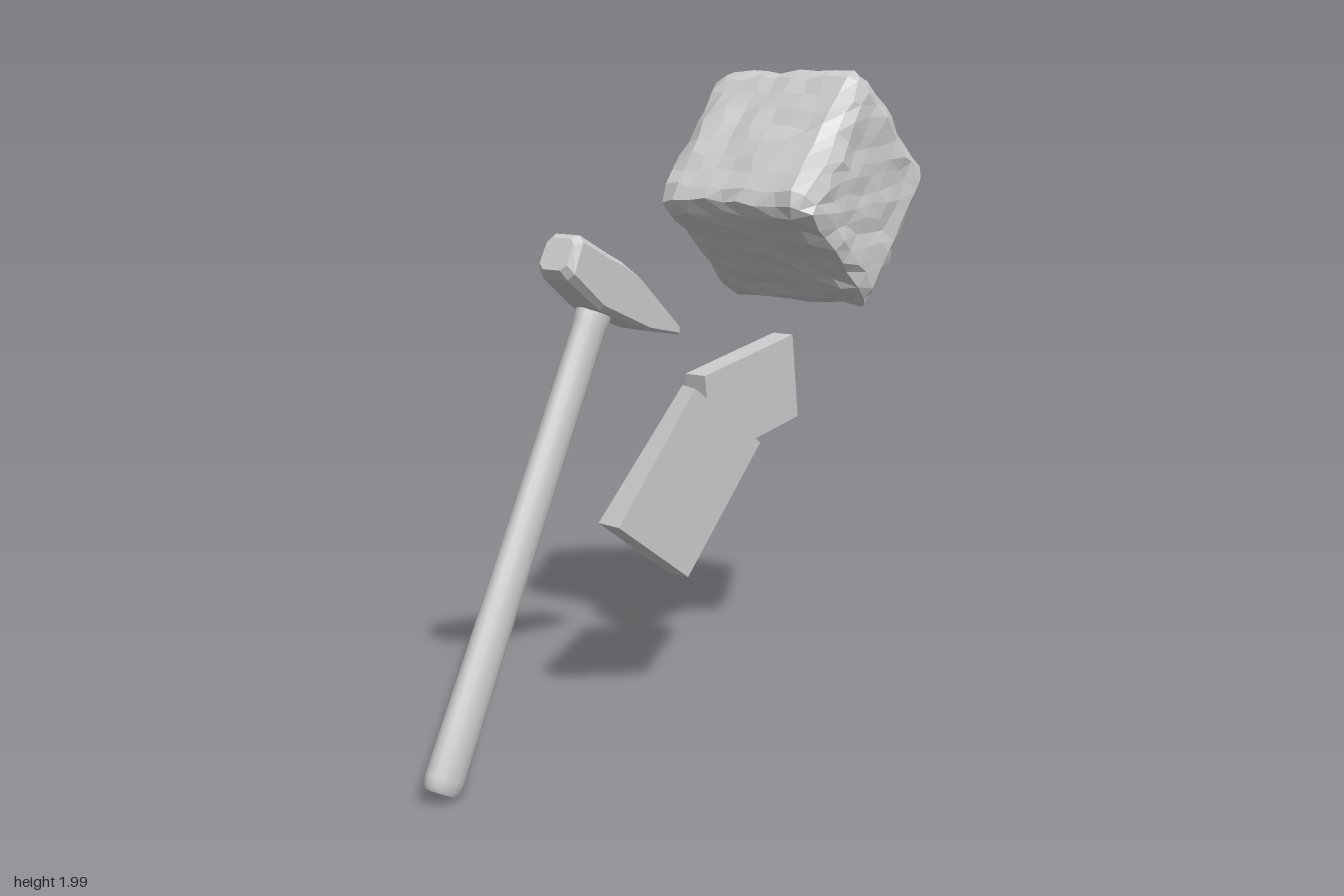
import * as THREE from 'three';
import { toCreasedNormals } from 'three/addons/utils/BufferGeometryUtils.js';

const smooth = new THREE.MeshStandardMaterial({ color: 0xcccccc });
const faceted = new THREE.MeshStandardMaterial({ color: 0xcccccc, flatShading: true });

function part(name, geometry, material) {
  const mesh = new THREE.Mesh(geometry, material);
  mesh.name = name;
  return mesh;
}

// Move every vertex of a geometry by a rule
function deform(geometry, rule) {
  const pos = geometry.attributes.position;
  const v = new THREE.Vector3();
  for (let i = 0; i < pos.count; i++) {
    rule(v.fromBufferAttribute(pos, i));
    pos.setXYZ(i, v.x, v.y, v.z);
  }
  geometry.computeVertexNormals();
  return geometry;
}

// Repeatable noise in -1..1 from a position, equal on shared seams
function noise(p, seed) {
  const [x, y, z] = [p.x, p.y, p.z].map((n) => Math.round(n * 1000));
  const s = Math.sin(x * 0.1271 + y * 0.3117 + z * 0.0747 + seed) * 4375.85;
  return (s - Math.floor(s)) * 2 - 1;
}

// Rough stone cube with worn edges
function stoneBlock() {
  const radius = 0.06;
  const inner = new THREE.Vector3(0.21, 0.21, 0.217);
  const low = inner.clone().negate();
  const geometry = deform(new THREE.BoxGeometry(0.54, 0.54, 0.554, 9, 9, 9), (v) => {
    const core = v.clone().clamp(low, inner);
    const out = v.clone().sub(core).normalize();
    const bump = noise(v, 1) * 0.007;
    const slide = new THREE.Vector3(noise(v, 2), noise(v, 3), noise(v, 4)).multiplyScalar(0.012);
    slide.addScaledVector(out, -slide.dot(out));
    v.copy(core).addScaledVector(out, radius + bump).add(slide);
  });
  const block = part('stoneBlock', geometry, faceted);
  block.position.set(0.553, 1.633, 0);
  block.rotation.z = THREE.MathUtils.degToRad(-41);
  return block;
}

// Slab from front and back corners, each: top left, top right, bottom right, bottom left
function slab(name, front, back, dent) {
  const blend = (corners, s, t) => [0, 1, 2].map((k) => {
    const top = corners[0][k] * (1 - s) + corners[1][k] * s;
    const bottom = corners[3][k] * (1 - s) + corners[2][k] * s;
    return bottom * (1 - t) + top * t;
  });
  const geometry = deform(new THREE.BoxGeometry(1, 1, 1, 2, 2, 1), (v) => {
    const s = v.x + 0.5, t = v.y + 0.5, isBack = v.z < 0;
    v.set(...blend(isBack ? back : front, s, t));
    if (isBack && t === 0.5) v.z += dent * s;
  });
  return part(name, geometry, faceted);
}

// Oval wooden handle, swelling towards the grip end
function hammerHandle() {
  const profile = [
    [0, 0], [0.053, 0], [0.063, 0.012], [0.067, 0.04], [0.066, 0.2],
    [0.061, 0.6], [0.059, 1.2], [0.059, 1.4], [0.064, 1.43], [0.056, 1.53], [0, 1.53],
  ].map(([r, y]) => new THREE.Vector2(r, y));
  const geometry = toCreasedNormals(new THREE.LatheGeometry(profile, 16), 0.7);
  const handle = part('hammerHandle', geometry, smooth);
  handle.scale.z = 0.73;
  handle.position.set(-0.865, 0.035, -0.228);
  handle.rotation.z = -Math.atan2(0.695, 1.265);
  return handle;
}

// Head: chamfered sections from the striking face to the wedge tip
function hammerHead() {
  // top x, y, bottom x, y, half width, chamfer
  const sections = [
    [-0.325, 1.533, -0.376, 1.447, 0.05, 0.018],
    [-0.3, 1.541, -0.357, 1.418, 0.064, 0.02],
    [-0.18, 1.478, -0.22, 1.317, 0.065, 0.016],
    [-0.12, 1.45, -0.111, 1.275, 0.065, 0.014],
    [-0.037, 1.396, 0.005, 1.232, 0.063, 0.01],
    [0.15, 1.234, 0.15, 1.202, 0.062, 0.006],
    [0.16, 1.224, 0.16, 1.207, 0.058, 0.004],
  ];
  const points = [], index = [];
  for (const [tx, ty, bx, by, w, c] of sections) {
    const h = Math.hypot(tx - bx, ty - by) / 2;
    const ring = [
      [h, w - c], [h - c, w], [c - h, w], [-h, w - c],
      [-h, c - w], [c - h, -w], [h - c, -w], [h, c - w],
    ];
    for (const [d, z] of ring) {
      const t = (d / h + 1) / 2;
      points.push(bx + (tx - bx) * t, by + (ty - by) * t, z);
    }
  }
  const last = (sections.length - 1) * 8;
  for (let i = 0; i < last; i += 8) {
    for (let j = 0; j < 8; j++) {
      const a = i + j, b = i + (j + 1) % 8;
      index.push(a, b, b + 8, a, b + 8, a + 8);
    }
  }
  for (let j = 1; j < 7; j++) {
    index.push(0, j + 1, j, last, last + j, last + j + 1);
  }
  const geometry = new THREE.BufferGeometry();
  geometry.setAttribute('position', new THREE.Float32BufferAttribute(points, 3));
  geometry.setIndex(index);
  geometry.computeVertexNormals();
  const head = part('hammerHead', geometry, faceted);
  head.position.z = -0.215;
  return head;
}

export function createModel() {
  const model = new THREE.Group();
  model.name = 'hammerAndStones';

  const hammer = new THREE.Group();
  hammer.name = 'hammer';
  hammer.add(hammerHandle(), hammerHead());

  // Tilted slab in front
  const frontSlab = slab('frontSlab',
    [[0.168, 1.037, -0.106], [0.455, 0.825, -0.058], [0.175, 0.432, -0.138], [-0.112, 0.643, -0.186]],
    [[0.183, 1.04, -0.165], [0.473, 0.827, -0.144], [0.192, 0.427, -0.228], [-0.098, 0.642, -0.276]],
    0);

  // Upright slab behind, its outer back edge hollowed
  const outline = [[0.35, 1.04], [0.855, 1.11], [0.892, 0.825], [0.39, 0.755]];
  const rearSlab = slab('rearSlab',
    outline.map((p) => [...p, -0.2]),
    outline.map((p) => [...p, -0.277]),
    0.022);

  model.add(hammer, stoneBlock(), frontSlab, rearSlab);
  return model;
}
